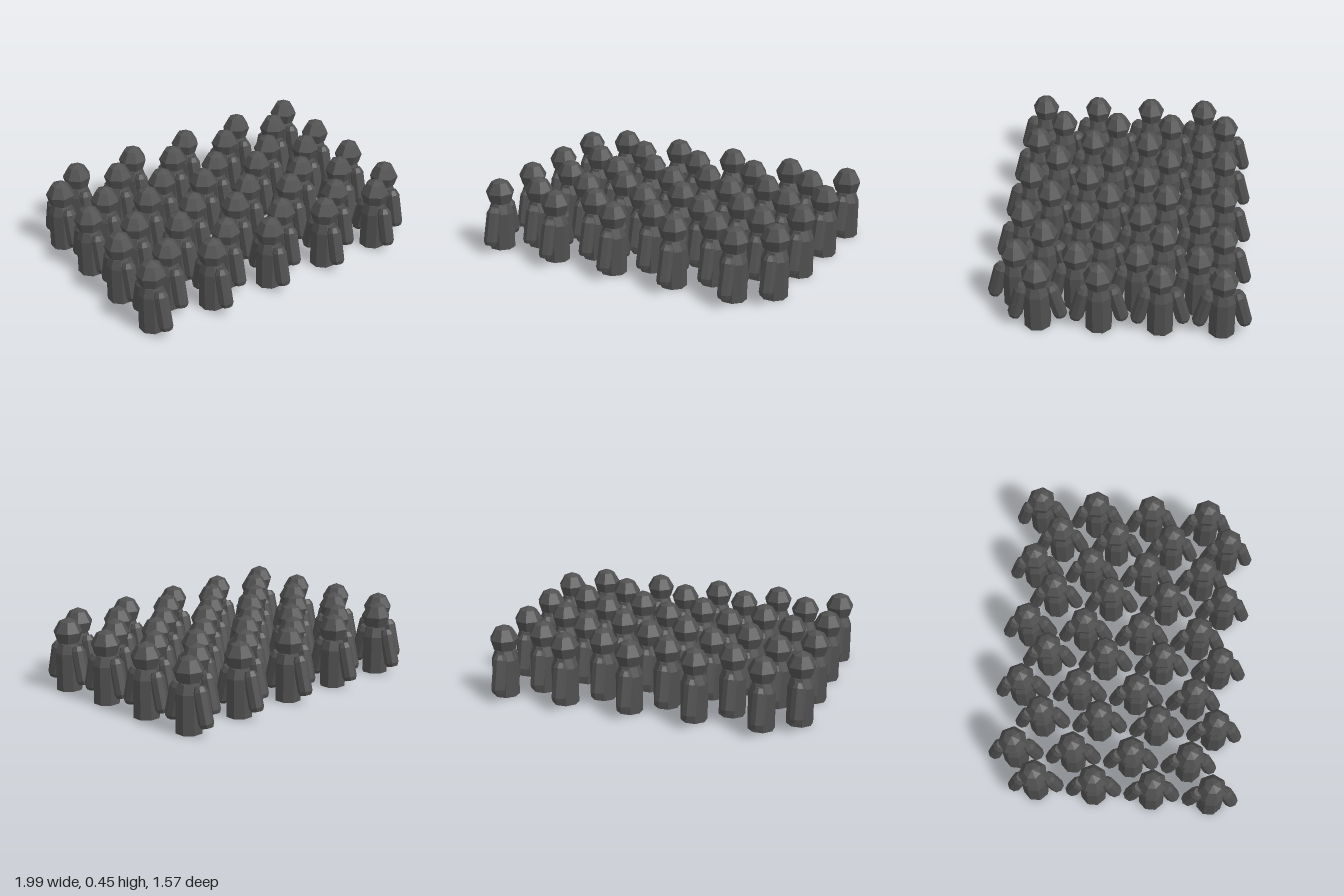
import * as THREE from 'three';

const material = new THREE.MeshStandardMaterial({ color: 0x505050, flatShading: true });

// Closed faceted solid from [radius, height] pairs listed bottom to top
function turned(profile, sides) {
  return new THREE.LatheGeometry(profile.map(([r, y]) => new THREE.Vector2(r, y)), sides);
}

const bodyGeometry = turned([[0, 0], [0.081, 0], [0.081, 0.235], [0.06, 0.292], [0, 0.292]], 8);
bodyGeometry.rotateY(Math.PI / 8);
const headGeometry = turned([[0, 0.3], [0.07, 0.3], [0.09, 0.365], [0.053, 0.43], [0, 0.453]], 7);
const armGeometry = turned(
  [[0, -0.118], [0.034, -0.118], [0.044, -0.095], [0.044, 0.088], [0.028, 0.118], [0, 0.118]], 8);

function addPart(parent, name, geometry) {
  const mesh = new THREE.Mesh(geometry, material);
  mesh.name = name;
  parent.add(mesh);
  return mesh;
}

// One pawn-like figure with an arm hanging outward at the front and back
function createFigure() {
  const figure = new THREE.Group();
  figure.name = 'figure';
  addPart(figure, 'body', bodyGeometry);
  addPart(figure, 'head', headGeometry).rotation.y = Math.PI / 2;
  for (const side of [1, -1]) {
    const arm = addPart(figure, side > 0 ? 'frontArm' : 'backArm', armGeometry);
    arm.position.set(side * 0.008, 0.17, side * 0.108);
    arm.rotation.x = -side * 0.255;
  }
  return figure;
}

export function createModel() {
  const crowd = new THREE.Group();
  crowd.name = 'crowd';
  // Two interleaved blocks of five columns and four rows
  const blocks = [
    { name: 'frontBlock', columns: [-0.912, -0.5, -0.09, 0.32, 0.715], firstZ: -0.468 },
    { name: 'backBlock', columns: [-0.717, -0.307, 0.098, 0.512, 0.908], firstZ: -0.613 },
  ];
  for (const { name, columns, firstZ } of blocks) {
    const block = new THREE.Group();
    block.name = name;
    for (const x of columns) {
      for (let row = 0; row < 4; row++) {
        const figure = createFigure();
        figure.position.set(x, 0, firstZ + row * 0.36);
        block.add(figure);
      }
    }
    crowd.add(block);
  }
  return crowd;
}
